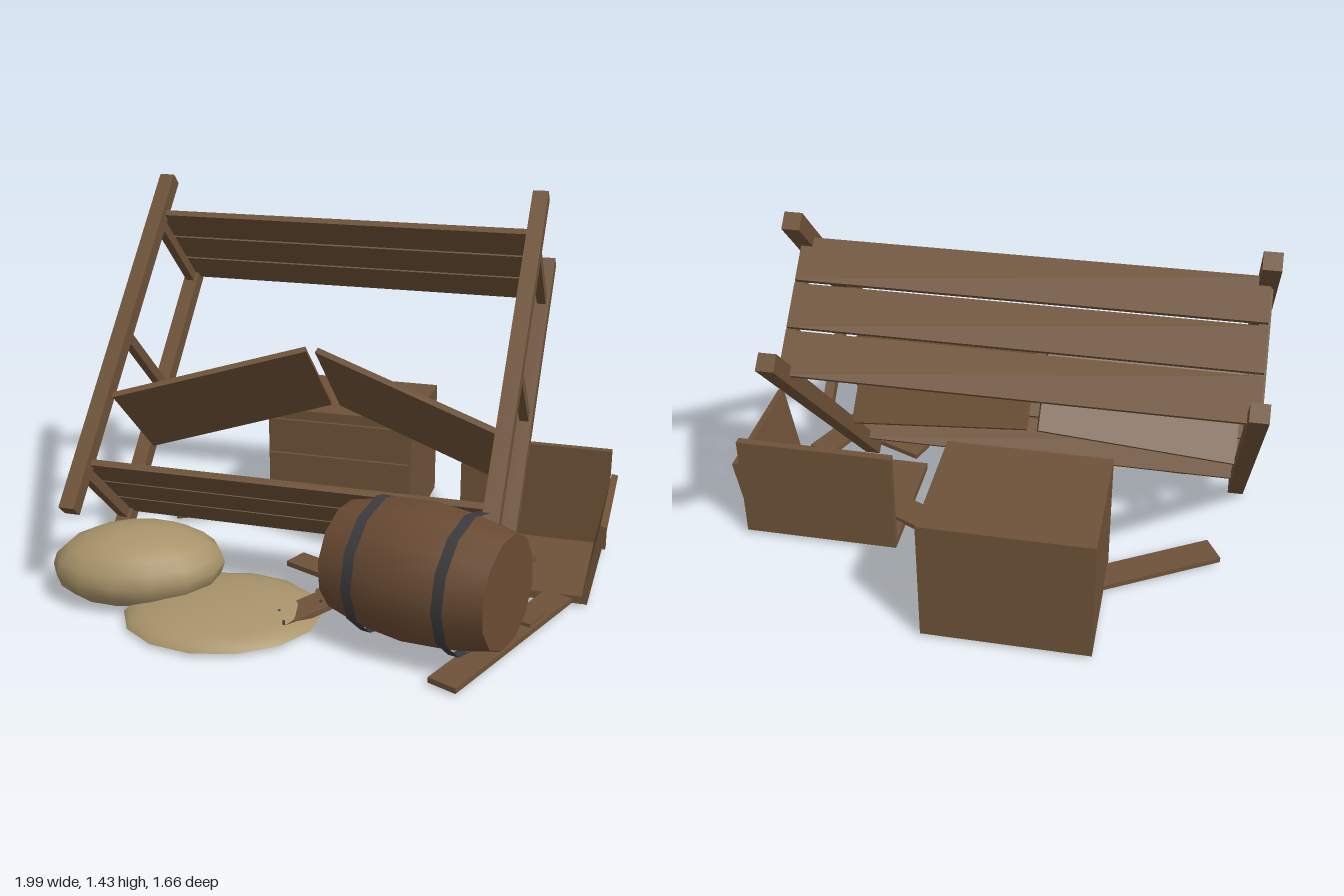
import * as THREE from 'three';
import { toCreasedNormals } from 'three/addons/utils/BufferGeometryUtils.js';

const material = (name, color, side = THREE.FrontSide) => {
  const m = new THREE.MeshStandardMaterial({ color, side });
  m.name = name;
  return m;
};

export function createModel() {
  const wood = material('wood', 0x6e5238);
  const barrelWood = material('barrel wood', 0x6a4b33);
  const iron = material('iron', 0x3c3b3d, THREE.DoubleSide);
  const burlap = material('burlap', 0xa8936a);

  const model = new THREE.Group();
  model.name = 'collapsedShelf';

  const add = (parent, name, geo, mat, x, y, z) => {
    const mesh = new THREE.Mesh(geo, mat);
    mesh.name = name;
    mesh.position.set(x, y, z);
    parent.add(mesh);
    return mesh;
  };
  const box = (parent, name, w, h, d, x, y, z) =>
    add(parent, name, new THREE.BoxGeometry(w, h, d), wood, x, y, z);
  const group = (name, x = 0, y = 0, z = 0) => {
    const g = new THREE.Group();
    g.name = name;
    g.position.set(x, y, z);
    model.add(g);
    return g;
  };

  // Shelf unit, fallen backwards
  const shelf = group('shelf', -0.135, 0.18, 0.37);
  shelf.rotation.x = -0.765;
  for (const s of [-1, 1]) {
    for (const f of [-1, 1]) box(shelf, 'post', 0.06, 1.47, 0.06, s * 0.765, 0.735, f * 0.237);
    for (const y of [0.165, 0.745, 1.27]) box(shelf, 'sideRail', 0.035, 0.04, 0.44, s * 0.765, y, 0);
    // Snapped middle board, both halves rising to the break
    const half = box(shelf, 'brokenBoard', 0.76, 0.022, 0.46, s * 0.378, 0.61, 0);
    half.rotation.z = -s * 0.349;
  }
  for (const y of [0.197, 1.302])
    for (const i of [-1, 0, 1]) box(shelf, 'shelfPlank', 1.55, 0.024, 0.152, 0, y, i * 0.163);

  // Closed crate with slatted front
  const crate = group('closedCrate', -0.135, 0, -0.59);
  box(crate, 'crateBody', 0.61, 0.485, 0.49, 0, 0.25, 0);
  for (const i of [0, 1, 2]) box(crate, 'crateSlat', 0.6, 0.125, 0.015, 0, 0.09 + i * 0.15, 0.252);

  // Open crate with one side leaning out
  const open = group('openCrate', 0, 0, 0);
  box(open, 'crateFloor', 0.55, 0.03, 0.5, 0.645, 0.02, -0.155);
  box(open, 'crateBack', 0.595, 0.42, 0.03, 0.668, 0.22, -0.4);
  const side = box(open, 'crateSide', 0.025, 0.32, 0.515, 0.955, 0.167, -0.155);
  side.rotation.z = -0.17;

  // Barrel lying on its side
  const barrel = group('barrel', 0.42, 0.26, 0.5);
  barrel.quaternion.setFromUnitVectors(
    new THREE.Vector3(0, 1, 0), new THREE.Vector3(0.595, 0.015, 0.17).normalize());
  const profile = [[0, -0.31], [0.2, -0.31], [0.236, -0.16], [0.25, 0], [0.236, 0.16], [0.2, 0.31], [0, 0.31]]
    .map(([r, y]) => new THREE.Vector2(r, y));
  add(barrel, 'staves', toCreasedNormals(new THREE.LatheGeometry(profile, 12), 0.7), barrelWood, 0, 0, 0);
  for (const s of [-1, 1]) {
    const hoop = add(barrel, 'hoop', new THREE.CylinderGeometry(0.246, 0.246, 0.04, 12, 1, true), iron, 0, s * 0.17, 0);
    hoop.rotation.y = Math.PI / 12;
  }

  // Sacks slumped flat on the ground
  const sack = (name, x, z, rx, ry, rz, cy, yaw) => {
    const geo = new THREE.SphereGeometry(1, 14, 10);
    geo.scale(rx, ry, rz).translate(0, cy, 0);
    const p = geo.attributes.position;
    for (let i = 0; i < p.count; i++) p.setY(i, Math.max(0.004, p.getY(i)));
    add(model, name, toCreasedNormals(geo, 0.8), burlap, x, 0, z).rotation.y = yaw;
  };
  sack('fullSack', -0.69, 0.42, 0.32, 0.147, 0.23, 0.11, 0.3);
  sack('flatSack', -0.32, 0.52, 0.36, 0.058, 0.3, 0.008, 0.25);

  // Scattered boards: length, width, x, y, z, yaw, tilt
  [
    [0.5, 0.11, -0.61, 0.025, -0.35, 0.51, 0],
    [0.36, 0.11, -0.03, 0.035, 0.47, 0.97, 0.05],
    [0.45, 0.12, 0.49, 0.045, -0.18, -0.4, 0.03],
    [0.75, 0.11, 0.69, 0.022, 0.45, 1.17, 0.02],
    [0.4, 0.1, 0.6, 0.03, 0.26, -0.35, 0.04],
    [0.32, 0.1, -0.05, 0.02, 0.12, -0.4, 0],
    [0.3, 0.09, 0.12, 0.02, 0.3, 0.3, -0.03],
  ].forEach(([len, w, x, y, z, yaw, tilt]) => {
    box(model, 'looseBoard', len, 0.02, w, x, y, z).rotation.set(0, yaw, tilt);
  });

  // Bent nails beside the loose boards
  for (const [x, z] of [[-0.1, 0.53], [-0.06, 0.6], [0.02, 0.42]])
    add(model, 'nail', new THREE.CylinderGeometry(0.005, 0.005, 0.05, 6), iron, x, 0.03, z);

  return model;
}
